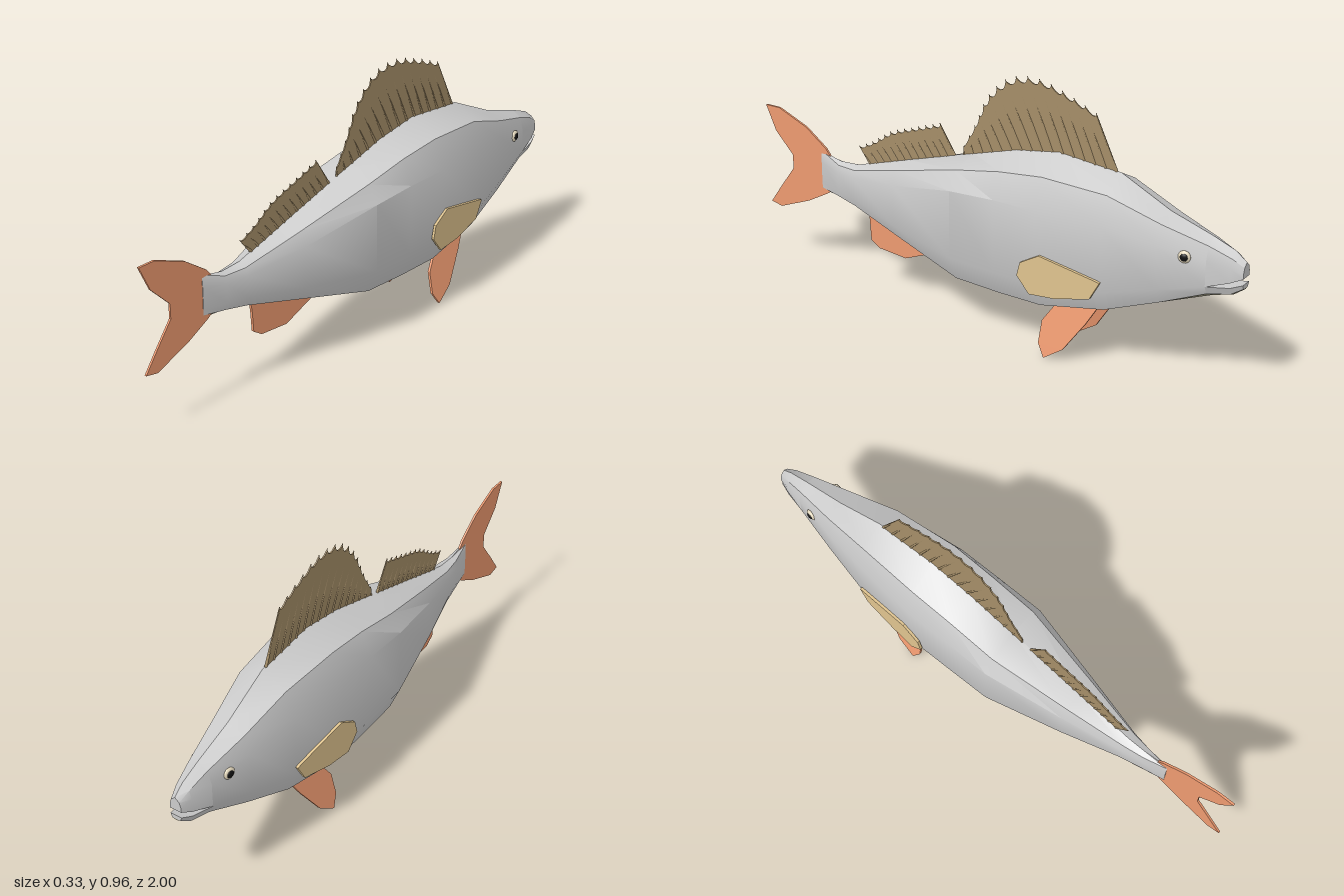
import * as THREE from 'three';
import { toCreasedNormals } from 'three/addons/utils/BufferGeometryUtils.js';

const mat = (color) => new THREE.MeshStandardMaterial({ color, side: THREE.DoubleSide });
const GREY = mat(0xcccccc), BELLY = mat(0xb0ab90), ORANGE = mat(0xee9a70);
const SPINY = mat(0xa58e68), SAND = mat(0xe0c48f), CREAM = mat(0xe8dcc0), BLACK = mat(0x111111);

// Body stations: z, half width, then heights of back, shoulder, upper side, lower side, belly edge, keel
const STATIONS = [
  [0.74, 0.006, 0.49, 0.48, 0.45, 0.37, 0.345, 0.335],
  [0.65, 0.025, 0.47, 0.46, 0.43, 0.36, 0.335, 0.327],
  [0.57, 0.04, 0.475, 0.462, 0.435, 0.355, 0.322, 0.312],
  [0.35, 0.09, 0.545, 0.525, 0.475, 0.32, 0.27, 0.245],
  [0.06, 0.15, 0.635, 0.61, 0.545, 0.29, 0.2, 0.155],
  [-0.12, 0.15, 0.69, 0.645, 0.555, 0.285, 0.193, 0.148],
  [-0.29, 0.15, 0.72, 0.665, 0.557, 0.285, 0.193, 0.148],
  [-0.53, 0.125, 0.7, 0.65, 0.55, 0.31, 0.235, 0.215],
  [-0.72, 0.088, 0.61, 0.585, 0.515, 0.36, 0.305, 0.285],
  [-0.88, 0.052, 0.56, 0.54, 0.49, 0.4, 0.37, 0.35],
];
const MOUTH = STATIONS[STATIONS.length - 1];
const UPPER_JAW = [MOUTH,
  [-0.96, 0.035, 0.53, 0.51, 0.48, 0.428, 0, 0],
  [-1, 0.022, 0.5, 0.485, 0.465, 0.447, 0, 0]];
const LOWER_JAW = [MOUTH,
  [-0.96, 0.035, 0, 0, 0, 0.41, 0.385, 0.375],
  [-1, 0.022, 0, 0, 0, 0.425, 0.41, 0.405]];

// Points of a station: 0 back, 1 shoulder, 2 upper side, 3 lower side, 4 belly edge, 5 keel
const WIDTHS = [0, 0.74, 1, 1, 0.74, 0];
const point = (s, i, side) => [side * s[1] * WIDTHS[i], s[2 + i], s[0]];

// Skin over stations; each path entry is [point index, side]
function skin(name, stations, path, material, capBack, capFront) {
  const n = path.length, pos = [], idx = [];
  for (const s of stations) for (const [i, side] of path) pos.push(...point(s, i, side));
  for (let r = 0; r < stations.length - 1; r++)
    for (let j = 0; j < n - 1; j++) {
      const a = r * n + j, b = a + 1, c = a + n, d = c + 1;
      idx.push(a, c, b, b, c, d);
    }
  const last = (stations.length - 1) * n;
  for (let k = 1; k < n - 1; k++) {
    if (capBack) idx.push(0, k, k + 1);
    if (capFront) idx.push(last, last + k + 1, last + k);
  }
  const g = new THREE.BufferGeometry();
  g.setAttribute('position', new THREE.Float32BufferAttribute(pos, 3));
  g.setIndex(idx);
  const mesh = new THREE.Mesh(toCreasedNormals(g, 0.5), material);
  mesh.name = name;
  return mesh;
}

// Thin plate from a shape drawn in (z, y), shifted sideways by a rule
function plate(name, shape, thickness, material, shift = () => 0) {
  const g = new THREE.ExtrudeGeometry(shape, { depth: thickness, bevelEnabled: false, curveSegments: 4 });
  g.translate(0, 0, -thickness / 2).rotateY(-Math.PI / 2);
  const p = g.attributes.position;
  for (let i = 0; i < p.count; i++) p.setX(i, p.getX(i) + shift(p.getY(i), p.getZ(i)));
  g.computeVertexNormals();
  const mesh = new THREE.Mesh(g, material);
  mesh.name = name;
  return mesh;
}
const outline = (pts) => new THREE.Shape(pts.map(([z, y]) => new THREE.Vector2(z, y)));

// Dorsal fin: tapered spines with a scalloped membrane between them
function dorsalFin(name, basePts, tipPts, count) {
  const fin = new THREE.Group();
  fin.name = name;
  const along = (pts) => new THREE.CatmullRomCurve3(pts.map(([z, y]) => new THREE.Vector3(0, y, z))).getSpacedPoints(count - 1);
  const bases = along(basePts), tips = along(tipPts);
  const shape = new THREE.Shape();
  shape.moveTo(bases[0].z, bases[0].y);
  for (const b of bases) shape.lineTo(b.z, b.y);
  shape.lineTo(tips[count - 1].z, tips[count - 1].y);
  for (let i = count - 2; i >= 0; i--) {
    const notch = tips[i].clone().add(tips[i + 1]).multiplyScalar(0.5)
      .lerp(bases[i].clone().add(bases[i + 1]).multiplyScalar(0.5), 0.13);
    shape.quadraticCurveTo(notch.z, notch.y, tips[i].z, tips[i].y);
  }
  fin.add(plate('membrane', shape, 0.005, SPINY));
  bases.forEach((b, i) => {
    const dir = tips[i].clone().sub(b), len = dir.length() + 0.006;
    const ray = new THREE.Mesh(new THREE.CylinderGeometry(0.0015, 0.006, len, 5), SPINY);
    dir.normalize();
    ray.quaternion.setFromUnitVectors(new THREE.Vector3(0, 1, 0), dir);
    ray.position.copy(b).addScaledVector(dir, len / 2);
    ray.name = 'spine';
    fin.add(ray);
  });
  return fin;
}

export function createModel() {
  const fish = new THREE.Group();
  fish.name = 'fish';

  // Body, belly and jaws
  const over = [[4, 1], [3, 1], [2, 1], [1, 1], [0, 1], [1, -1], [2, -1], [3, -1], [4, -1]];
  const under = [[4, -1], [5, 1], [4, 1]];
  fish.add(
    skin('body', STATIONS, over, GREY, true, false),
    skin('belly', STATIONS, under, BELLY, true, false),
    skin('upperJaw', UPPER_JAW, [...over.slice(1, 8), [3, 1]], GREY, false, true),
    skin('lowerJaw', LOWER_JAW, [[4, 1], [3, 1], [3, -1], [4, -1]], GREY, false, true),
    skin('chin', LOWER_JAW, under, BELLY, false, true));

  // Fins on the centre line
  fish.add(
    dorsalFin('frontDorsalFin',
      [[-0.52, 0.68], [-0.29, 0.7], [-0.1, 0.675], [0.1, 0.61]],
      [[-0.43, 0.88], [-0.33, 0.92], [-0.2, 0.955], [-0.09, 0.935], [0, 0.85], [0.05, 0.74], [0.1, 0.65]], 16),
    dorsalFin('rearDorsalFin',
      [[0.13, 0.59], [0.35, 0.53], [0.51, 0.485]],
      [[0.2, 0.71], [0.3, 0.675], [0.42, 0.63], [0.5, 0.575], [0.56, 0.545]], 13),
    plate('tailFin', outline([[0.7, 0.48], [0.72, 0.505], [0.81, 0.57], [0.935, 0.62], [1, 0.62], [0.957, 0.525],
      [0.88, 0.445], [0.88, 0.39], [0.946, 0.3], [0.995, 0.23], [0.946, 0.22], [0.81, 0.275], [0.72, 0.325],
      [0.7, 0.34]]), 0.008, ORANGE),
    plate('analFin', outline([[0.53, 0.32], [0.522, 0.27], [0.517, 0.19], [0.48, 0.165], [0.36, 0.155],
      [0.24, 0.205], [0.24, 0.23], [0.4, 0.28]]), 0.01, ORANGE));

  // Paired fins and eyes
  for (const side of [1, -1]) {
    const label = side > 0 ? 'left' : 'right';
    fish.add(
      plate(label + 'PelvicFin', outline([[-0.5, 0.23], [-0.46, 0.16], [-0.385, 0.05], [-0.315, 0.003],
        [-0.287, 0.05], [-0.29, 0.13], [-0.33, 0.19], [-0.36, 0.22]]), 0.01, ORANGE,
      (y) => side * (0.08 + (0.19 - y) * 0.22)),
      plate(label + 'PectoralFin', outline([[-0.535, 0.35], [-0.5, 0.285], [-0.375, 0.255], [-0.275, 0.25],
        [-0.228, 0.31], [-0.24, 0.36], [-0.31, 0.4], [-0.52, 0.355]]), 0.01, SAND,
      (y, z) => side * (0.131 + (z + 0.53) * 0.095)));

    const eye = new THREE.Group();
    eye.name = label + 'Eye';
    const white = new THREE.Mesh(new THREE.SphereGeometry(0.022, 14, 10), CREAM);
    white.scale.x = 0.4;
    white.name = 'eyeRim';
    const pupil = new THREE.Mesh(new THREE.SphereGeometry(0.014, 14, 10), BLACK);
    pupil.scale.x = 0.5;
    pupil.position.x = side * 0.005;
    pupil.name = 'pupil';
    eye.add(white, pupil);
    eye.position.set(side * 0.068, 0.495, -0.81);
    eye.rotation.y = side * 0.2;
    fish.add(eye);
  }
  return fish;
}
